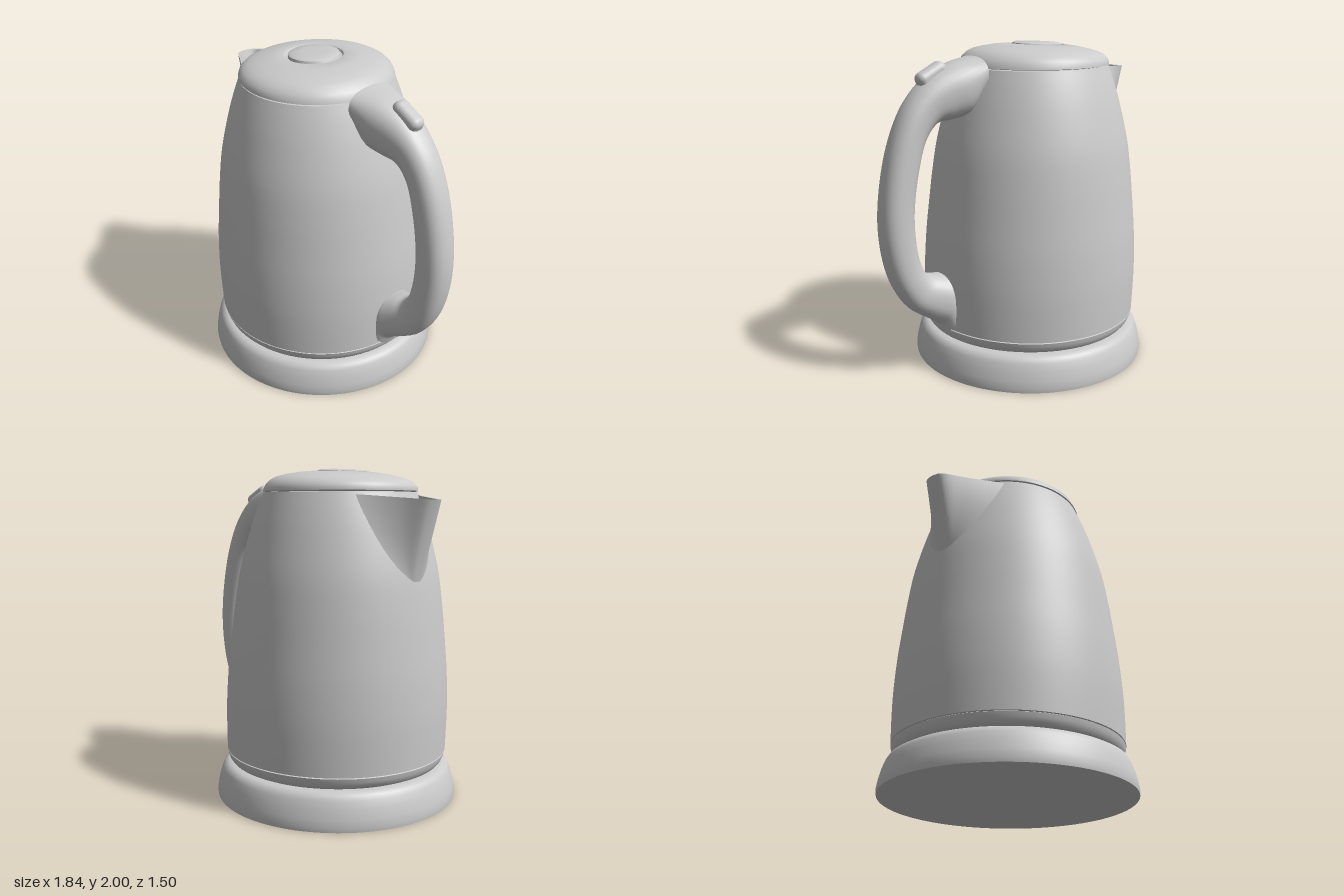
import * as THREE from 'three';
import { toCreasedNormals, mergeVertices } from 'three/addons/utils/BufferGeometryUtils.js';
import { RoundedBoxGeometry } from 'three/addons/geometries/RoundedBoxGeometry.js';

const AXIS = -0.16; // x of the base axis
const lean = (y) => AXIS - 0.018 * (y - 0.2); // the jug leans slightly toward the spout
const v2 = ([x, y]) => new THREE.Vector2(x, y);
const v3 = (p) => new THREE.Vector3(p[0], p[1], p[2] || 0);

// Body radius by height
const wallCurve = new THREE.SplineCurve([
  [0.684, 0.292], [0.687, 0.45], [0.686, 0.6], [0.675, 0.8], [0.655, 1.0],
  [0.632, 1.2], [0.601, 1.4], [0.545, 1.62], [0.5, 1.76], [0.463, 1.856],
].map(v2));
const wallPoints = wallCurve.getPoints(36);
function wallRadius(y) {
  const i = Math.max(1, wallPoints.findIndex((p) => p.y >= y));
  const a = wallPoints[i - 1], b = wallPoints[i];
  return a.x + (b.x - a.x) * (y - a.y) / (b.y - a.y);
}

// Turned shape, then shifted by a rule for each vertex
function turned(points, rule, crease = 0.6) {
  const g = new THREE.LatheGeometry(points, 96);
  const p = g.attributes.position;
  for (let i = 0; i < p.count; i++) {
    const v = new THREE.Vector3().fromBufferAttribute(p, i);
    rule(v);
    p.setXYZ(i, v.x, v.y, v.z);
  }
  return toCreasedNormals(g, crease);
}

// Skin over rows of points of equal length
function loft(rows, crease) {
  const n = rows[0].length, index = [];
  for (let i = 0; i < rows.length - 1; i++) {
    for (let j = 0; j < n - 1; j++) {
      const a = i * n + j;
      index.push(a, a + 1, a + n, a + 1, a + n + 1, a + n);
    }
  }
  let g = new THREE.BufferGeometry().setFromPoints(rows.flat());
  g.setIndex(index);
  g = mergeVertices(g, 1e-5);
  return toCreasedNormals(g, crease);
}

// Pouring lip: a tapering V that grows out of the wall, with an inner skin
function spoutGeometry() {
  const plan = new THREE.SplineCurve(
    [[0, 0], [0.025, 0.16], [0.11, 0.28], [0.37, 0.47], [0.7, 0.74], [1, 1]].map(v2));
  const row = (t, inset) => {
    const y = 1.31 + 0.5 * t, r = wallRadius(y) - 0.01, c = lean(y);
    const angle = 0.62 * Math.sqrt(t);
    const tip = -0.78 - 0.14 * Math.pow(t, 1.12) + inset;
    const ax = c - r * Math.cos(angle), az = r * Math.sin(angle) - inset * 0.6;
    const out = [];
    for (let j = -16; j <= 16; j++) {
      const q = plan.getPoint(Math.abs(j) / 16);
      out.push(new THREE.Vector3(tip + (ax - tip) * q.x, y + 0.03 * q.x * t,
        Math.sign(j) * az * q.y));
    }
    return out;
  };
  const rows = [];
  for (let i = 0; i <= 20; i++) rows.push(row(i / 20, 0));
  for (let i = 20; i >= 5; i--) rows.push(row(i / 20, 0.025));
  return loft(rows, 0.7);
}

// Handle: outer edge, inner edge and half width along its path
function handleGeometry() {
  const stations = [
    [0.27, 1.93, 0.27, 1.74, 0.172], [0.43, 1.897, 0.34, 1.6, 0.16],
    [0.56, 1.84, 0.44, 1.572, 0.135], [0.66, 1.76, 0.54, 1.56, 0.115],
    [0.76, 1.63, 0.615, 1.48, 0.106], [0.855, 1.4, 0.672, 1.3, 0.104],
    [0.915, 1.05, 0.71, 1.05, 0.104], [0.9, 0.8, 0.698, 0.83, 0.104],
    [0.845, 0.61, 0.66, 0.7, 0.104], [0.75, 0.46, 0.615, 0.65, 0.107],
    [0.63, 0.37, 0.55, 0.635, 0.125], [0.56, 0.325, 0.47, 0.61, 0.145],
    [0.535, 0.27, 0.42, 0.48, 0.15],
  ];
  const spline = (f) => new THREE.CatmullRomCurve3(stations.map((s) => v3(f(s))));
  const outer = spline((s) => [s[0], s[1], s[4]]);
  const inner = spline((s) => [s[2], s[3], s[4]]);
  const round = (k) => Math.sign(k) * Math.pow(Math.abs(k), 0.85);
  const rows = [];
  for (let i = 0; i <= 72; i++) {
    const o = outer.getPoint(i / 72), n = inner.getPoint(i / 72), w = o.z;
    const ring = [];
    for (let j = 0; j <= 32; j++) {
      const a = (j % 32) / 32 * Math.PI * 2;
      const k = 0.5 + 0.5 * round(Math.cos(a));
      ring.push(new THREE.Vector3(n.x + (o.x - n.x) * k, n.y + (o.y - n.y) * k,
        w * round(Math.sin(a))));
    }
    rows.push(ring);
  }
  // End caps
  const cap = (ring) => {
    const c = ring[0].clone().add(ring[16]).multiplyScalar(0.5);
    return ring.map(() => c.clone());
  };
  return loft([cap(rows[0]), ...rows, cap(rows[72])], 0.9);
}

export function createModel() {
  const grey = new THREE.MeshStandardMaterial({ color: 0xcccccc });
  grey.name = 'light grey';
  const greyOpen = grey;
  greyOpen.side = THREE.DoubleSide;
  const model = new THREE.Group();
  model.name = 'kettle';
  const add = (name, geometry) => {
    const m = new THREE.Mesh(geometry, grey);
    m.name = name;
    model.add(m);
    return m;
  };
  const leaning = (v) => { v.x += lean(v.y); };

  // Power base
  add('powerBase', turned([
    [0, 0], [0.745, 0], [0.748, 0.025], [0.741, 0.07], [0.728, 0.125], [0.712, 0.17],
    [0.698, 0.195], [0.675, 0.208], [0.64, 0.211], [0, 0.211],
  ].map(v2), (v) => { v.x += AXIS; }));

  // Band around the foot of the jug
  add('footBand', turned([
    [0, 0.2], [0.62, 0.2], [0.64, 0.217], [0.656, 0.222], [0.669, 0.238], [0.678, 0.262],
    [0.683, 0.285], [0.676, 0.289], [0.6, 0.289],
  ].map(v2), leaning));

  // Jug wall with a closed top under the lid
  add('body', turned([
    v2([0.6, 0.291]), v2([0.678, 0.2915]), ...wallPoints, v2([0.445, 1.858]), v2([0, 1.858]),
  ], leaning));

  add('spout', spoutGeometry());

  // Domed lid, a little higher toward the handle, with a ring groove and round centre
  add('lid', turned([
    [0, 1.86], [0.45, 1.86], [0.466, 1.864], [0.464, 1.88], [0.453, 1.903], [0.43, 1.925],
    [0.395, 1.943], [0.34, 1.958], [0.27, 1.971], [0.185, 1.981], [0.174, 1.977],
    [0.166, 1.966], [0.157, 1.966], [0.153, 1.984], [0.14, 1.991], [0.08, 1.994], [0, 1.995],
  ].map(v2), (v) => {
    v.y += 0.035 * v.x * Math.min(1, Math.max(0, (v.y - 1.864) / 0.08));
    v.x += lean(1.86) - 0.2 * (v.y - 1.86);
  }));

  add('handle', handleGeometry());

  // Thumb switch on top of the handle
  const thumb = add('thumbSwitch', new RoundedBoxGeometry(0.2, 0.1, 0.1, 4, 0.04));
  thumb.position.set(0.552, 1.835, 0);
  thumb.rotation.z = -0.47;

  return model;
}
